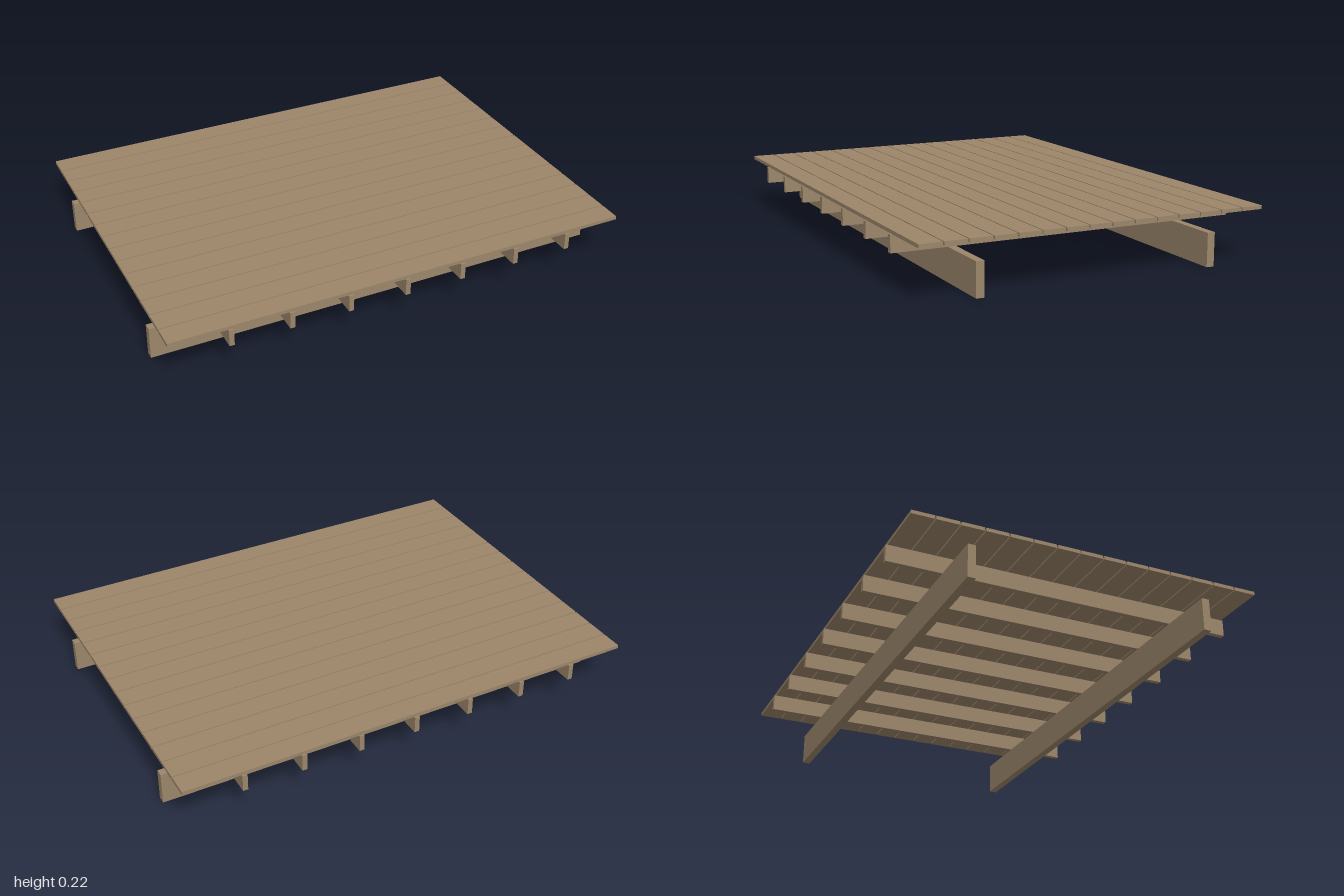
import * as THREE from 'three';

export function createModel() {
  const deck = new THREE.Group();
  deck.name = 'deck';

  const wood = new THREE.MeshStandardMaterial({ color: 0x9c866a });
  wood.name = 'weathered wood';

  const addBoard = (name, width, height, depth, x, bottom, z) => {
    const board = new THREE.Mesh(new THREE.BoxGeometry(width, height, depth), wood);
    board.name = name;
    board.position.set(x, bottom + height / 2, z);
    deck.add(board);
  };

  const beamHeight = 0.138;
  const joistHeight = 0.071;
  const plankHeight = 0.015;

  // Two long beams resting on the ground
  for (const z of [0.5, -0.5]) addBoard('beam', 2, beamHeight, 0.033, 0, 0, z);

  // Seven joists laid across the beams
  for (let i = -3; i <= 3; i++) {
    addBoard('joist', 0.021, joistHeight, 1.494, i * 0.25, beamHeight, 0);
  }

  // Fifteen planks with narrow gaps
  for (let i = -7; i <= 7; i++) {
    addBoard('plank', 2, plankHeight, 0.0935, 0, beamHeight + joistHeight, i * 0.0989);
  }

  return deck;
}
